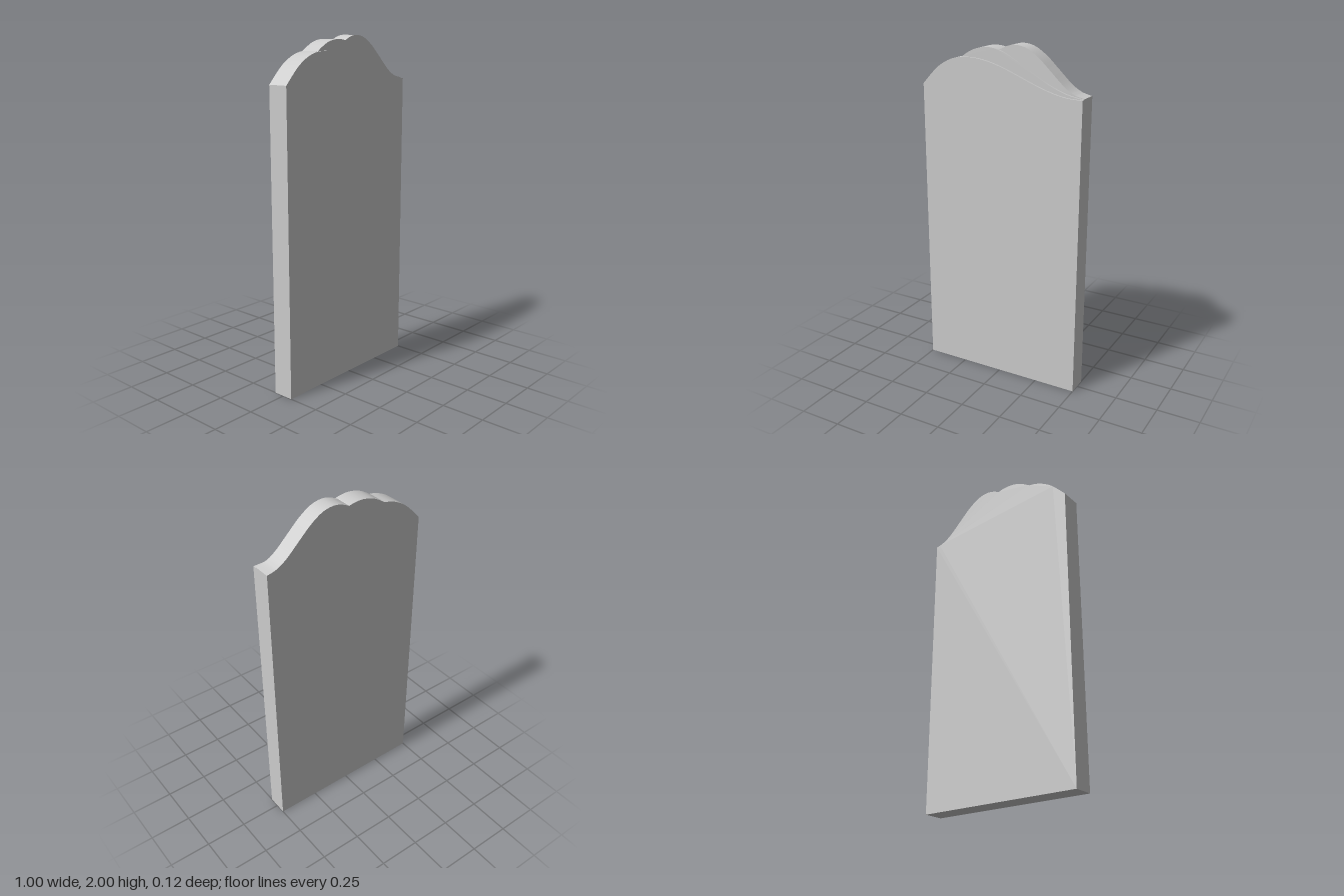
import * as THREE from 'three';
import { toCreasedNormals } from 'three/addons/utils/BufferGeometryUtils.js';

const HALF_W = 0.5;
const BACK = -0.0625;

// Smooth crest line through a few [x, y] points
const crest = (pts) =>
  new THREE.SplineCurve(pts.map(([x, y]) => new THREE.Vector2(x, y))).getPoints(48);

// A crest that follows the earlier one until the new wave rises out of it
const overlap = (base, wave) => [...base.filter((p) => p.x < wave[0].x - 0.003), ...wave];

export function createModel() {
  const group = new THREE.Group();
  group.name = 'waveTopSlab';
  const material = new THREE.MeshStandardMaterial({ color: 0xcccccc });

  // Crest lines of the three waves
  const front = crest([[-0.5, 1.748], [-0.4, 1.849], [-0.3, 1.904], [-0.2, 1.918], [-0.1, 1.909],
    [0, 1.883], [0.1, 1.846], [0.2, 1.806], [0.3, 1.771], [0.4, 1.748], [0.5, 1.743]]);
  const middle = overlap(front, crest([[-0.247, 1.916], [-0.17, 1.961], [-0.085, 1.979], [0, 1.965],
    [0.1, 1.916], [0.2, 1.857], [0.3, 1.803], [0.4, 1.764], [0.5, 1.745]]));
  const back = overlap(middle, crest([[-0.012, 1.968], [0.04, 1.992], [0.095, 2], [0.16, 1.985],
    [0.23, 1.94], [0.3, 1.876], [0.38, 1.802], [0.44, 1.764], [0.5, 1.748]]));

  // Slab with a straight base and the given crest, between two depths
  const addSlab = (name, line, z0, z1) => {
    const shape = new THREE.Shape([
      new THREE.Vector2(-HALF_W, 0), new THREE.Vector2(HALF_W, 0), ...[...line].reverse(),
    ]);
    const geometry = new THREE.ExtrudeGeometry(shape, { depth: z1 - z0, bevelEnabled: false });
    geometry.translate(0, 0, z0);
    const mesh = new THREE.Mesh(toCreasedNormals(geometry, 0.2), material);
    mesh.name = name;
    group.add(mesh);
  };

  // Stacked from back to front, each step slightly lower
  addSlab('backSlab', back, BACK, 0.037);
  addSlab('middleSlab', middle, 0.037, 0.05);
  addSlab('frontSlab', front, 0.05, 0.0625);

  return group;
}
